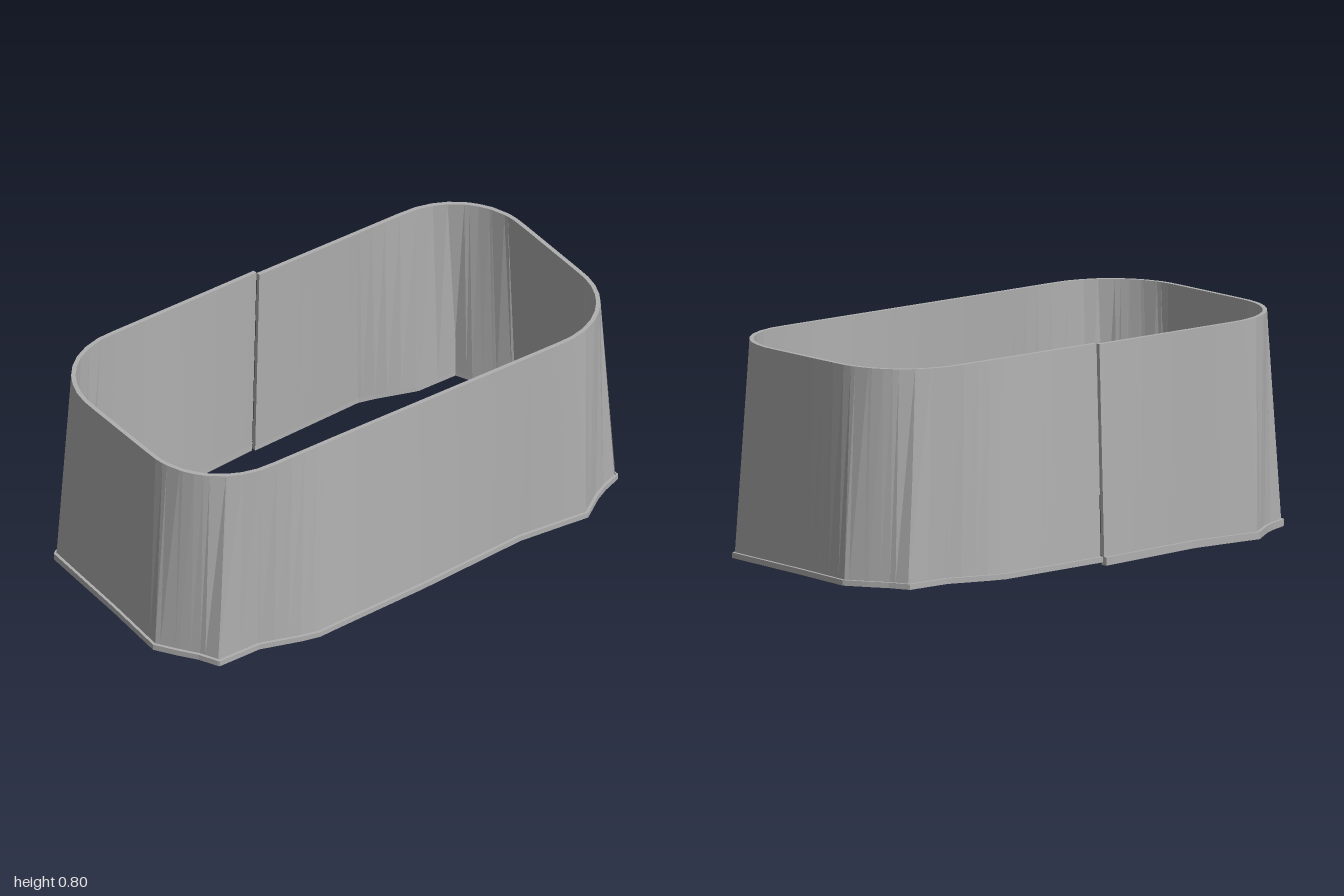
import * as THREE from 'three';

// Half of the wavy foot outline (x, z); the other half is its half-turn copy.
const HALF = [
  [0, -0.53], [0.47, -0.552], [0.54, -0.535], [0.69, -0.485], [0.865, -0.485], [0.9, -0.41],
  [0.945, -0.345], [0.995, -0.265], [0.975, 0], [0.955, 0.39], [0.88, 0.42], [0.825, 0.45],
  [0.73, 0.52], [0.65, 0.512], [0.45, 0.495],
];
const FOOT = [...HALF, ...HALF.map(([x, z]) => [-x, -z])];

// Rounded rectangle for the rim
function roundedRect(hx, hz, r, steps = 16) {
  const pts = [];
  [[1, 1], [-1, 1], [-1, -1], [1, -1]].forEach(([sx, sz], q) => {
    for (let i = 0; i <= steps; i++) {
      const a = (q + i / steps) * Math.PI / 2;
      pts.push([sx * (hx - r) + r * Math.cos(a), sz * (hz - r) + r * Math.sin(a)]);
    }
  });
  return pts;
}

// Point where a ray from the centre at angle a meets a closed outline
function hit(outline, a) {
  const dx = Math.cos(a), dz = Math.sin(a);
  let best = 0;
  outline.forEach(([px, pz], i) => {
    const [qx, qz] = outline[(i + 1) % outline.length];
    const ex = qx - px, ez = qz - pz, det = dx * ez - dz * ex;
    if (Math.abs(det) < 1e-9) return;
    const t = (px * ez - pz * ex) / det, u = (px * dz - pz * dx) / det;
    if (t > 0 && u >= -1e-6 && u <= 1 + 1e-6) best = Math.max(best, t);
  });
  return [dx * best, dz * best];
}

// Sampling angles start at the back seam and include every foot corner
const START = -Math.PI / 2, TURN = Math.PI * 2;
const turns = FOOT.map(([x, z]) => (((START - Math.atan2(z, x)) % TURN) + TURN) % TURN);
for (let i = 0; i <= 112; i++) turns.push(i / 112 * TURN);
turns.sort((a, b) => a - b);
const TS = turns.filter((t, i) => i === 0 || t - turns[i - 1] > 1e-4);

// Sampled loop, with outward normals
function loop(outline) {
  const p = TS.map(t => hit(outline, START - t));
  return p.map(([x, z], i) => {
    const a = p[Math.max(i - 1, 0)], b = p[Math.min(i + 1, p.length - 1)];
    const tx = b[0] - a[0], tz = b[1] - a[1], l = Math.hypot(tx, tz);
    return { x, z, nx: -tz / l, nz: tx / l };
  });
}

// Sweep a closed section round the loop, open at the seam and capped there
function sweep(name, section, material) {
  const rows = TS.map((t, i) => section(i, Math.max(0, 1 - 2.5 * t / TURN)));
  const pos = [], n = rows[0].length;
  const tri = (a, b, c) => pos.push(...a, ...b, ...c);
  for (let i = 0; i < rows.length - 1; i++) {
    for (let j = 0; j < n; j++) {
      const k = (j + 1) % n, a = rows[i], b = rows[i + 1];
      tri(a[j], b[j], b[k]);
      tri(a[j], b[k], a[k]);
    }
  }
  const s = rows[0], e = rows[rows.length - 1];
  for (let j = 0; j < n - 2; j++) {
    tri(s[n - 1], s[j], s[j + 1]);
    tri(e[n - 1], e[j + 1], e[j]);
  }
  const g = new THREE.BufferGeometry();
  g.setAttribute('position', new THREE.Float32BufferAttribute(pos, 3));
  g.computeVertexNormals();
  const mesh = new THREE.Mesh(g, material);
  mesh.name = name;
  return mesh;
}

export function createModel() {
  const grey = new THREE.MeshStandardMaterial({ color: 0xb0b0b0 });
  grey.name = 'grey';
  const foot = loop(FOOT);
  const rim = loop(roundedRect(0.95, 0.493, 0.3));
  const at = (q, offset, y) => [q.x + q.nx * offset, y, q.z + q.nz * offset];

  const group = new THREE.Group();
  group.name = 'roundedRing';

  // Thin wall blending from the wavy foot to the rounded rim, stepped out at the seam
  group.add(sweep('wall', (i, s) => [
    at(foot[i], s * 0.018 - 0.011, 0.028),
    at(rim[i], s * 0.018, 0.8),
    at(rim[i], s * 0.018 - 0.016, 0.8),
    at(foot[i], s * 0.018 - 0.026, 0.028),
  ], grey));

  // Narrow lip round the foot
  group.add(sweep('footLip', (i, s) => [
    at(foot[i], s * 0.018, 0.01 * (1 - s)),
    at(foot[i], s * 0.018, 0.03),
    at(foot[i], s * 0.018 - 0.026, 0.03),
    at(foot[i], s * 0.018 - 0.026, 0.01 * (1 - s)),
  ], grey));

  return group;
}
